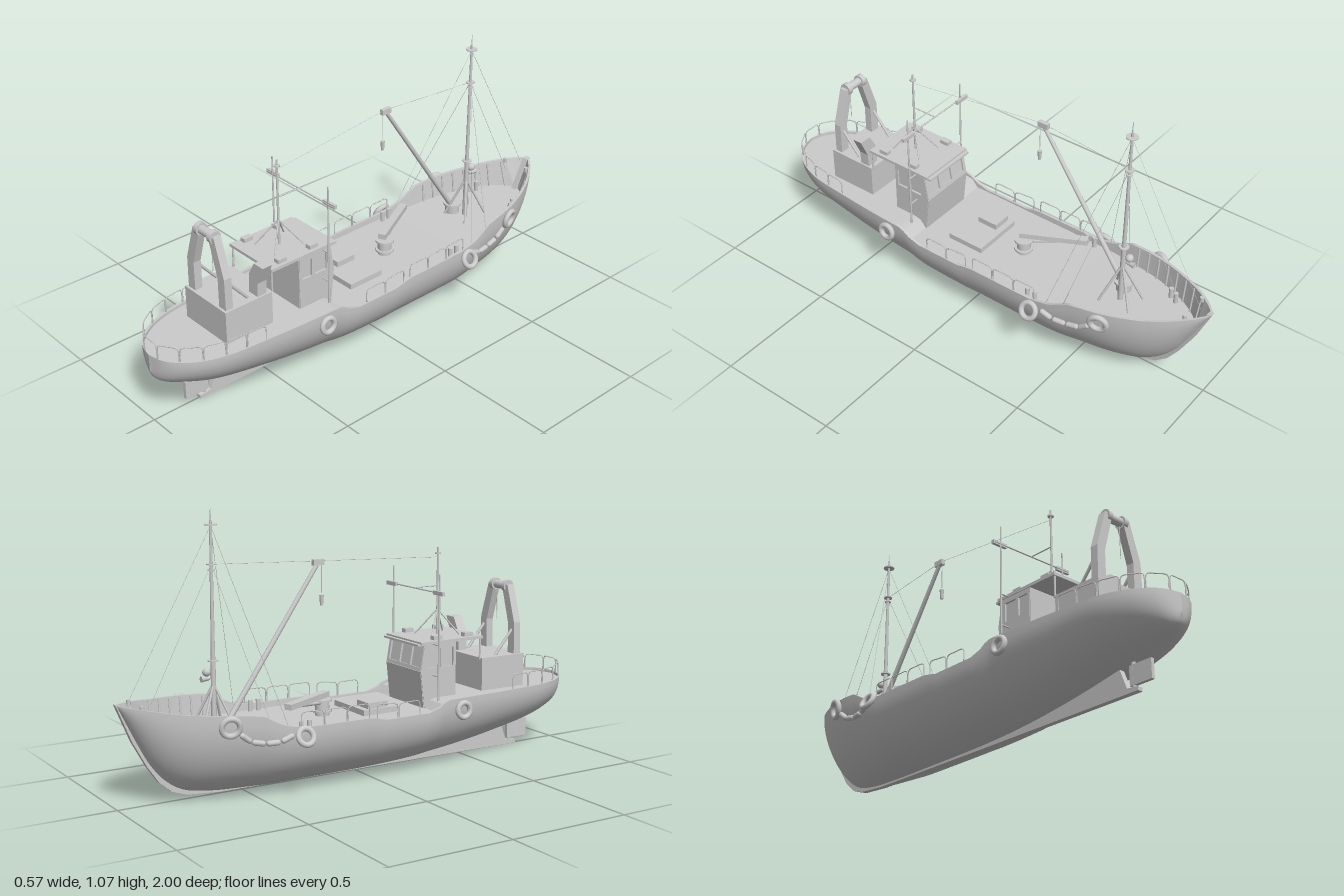
import * as THREE from 'three';
import { toCreasedNormals } from 'three/addons/utils/BufferGeometryUtils.js';

const V = (x, y, z) => new THREE.Vector3(x, y, z);
const mat = new THREE.MeshStandardMaterial({ color: 0xcccccc, side: THREE.DoubleSide });

// piecewise-linear lookup in a list of [z, value], z descending
function lookup(table, z) {
  for (let i = 1; i < table.length; i++) {
    const [z0, a] = table[i - 1], [z1, b] = table[i];
    if (z >= z1) return a + (b - a) * THREE.MathUtils.clamp((z0 - z) / (z0 - z1), 0, 1);
  }
  return table[table.length - 1][1];
}
const sheer = z => lookup([[1, .29], [.29, .29], [.25, .265], [.2, .25], [0, .25], [-.06, .265], [-.36, .268],
  [-.44, .285], [-.52, .328], [-.58, .336], [-.8, .355], [-1, .385]], z);
const deckY = z => lookup([[1, .278], [.28, .278], [.25, .242], [-.4, .242], [-1, .262]], z);

// hull stations: x = half beam, y = bottom, z = position
const stations = new THREE.CatmullRomCurve3([
  [0, .22, 1], [.06, .185, .985], [.1, .165, .96], [.15, .145, .9], [.19, .115, .8], [.212, .075, .6], [.225, .045, .4],
  [.23, .025, .2], [.23, .016, 0], [.23, .014, -.3], [.225, .014, -.5], [.205, .02, -.65], [.175, .04, -.75],
  [.145, .085, -.82], [.115, .15, -.875], [.08, .24, -.925], [.045, .32, -.965], [.012, .375, -.993], [0, .384, -1],
].map(p => V(...p))).getPoints(144);
const beam = z => lookup(stations.map(s => [s.z, s.x]), z);
const flare = z => 1 + .35 * THREE.MathUtils.smoothstep(-z, .4, .9);
function hullX(z, y) {
  const bot = lookup(stations.map(s => [s.z, s.y]), z), top = sheer(z);
  const c = THREE.MathUtils.clamp((top - y) / Math.max(top - bot, 1e-4), 0, 1);
  return beam(z) * Math.pow(Math.sqrt(1 - c * c), flare(z));
}

function grid(rows) {
  const n = rows[0].length, index = [];
  for (let i = 0; i < rows.length - 1; i++) for (let j = 0; j < n - 1; j++) {
    const a = i * n + j, b = a + n;
    index.push(a, b, a + 1, a + 1, b, b + 1);
  }
  const g = new THREE.BufferGeometry().setFromPoints(rows.flat());
  g.setIndex(index);
  g.computeVertexNormals();
  return g;
}

export function createModel() {
  const root = new THREE.Group();
  const group = name => { const g = new THREE.Group(); g.name = name; root.add(g); return g; };
  const add = (parent, name, geo, x = 0, y = 0, z = 0) => {
    const m = new THREE.Mesh(geo, mat);
    m.name = name; m.position.set(x, y, z); parent.add(m);
    return m;
  };
  const box = (p, name, w, h, d, x, y, z) => add(p, name, new THREE.BoxGeometry(w, h, d), x, y, z);
  const cyl = (p, name, r, h, x, y, z, r2 = r) => add(p, name, new THREE.CylinderGeometry(r2, r, h, 16), x, y, z);
  const rod = (p, name, a, b, r, r2 = r, sides = 8) => {
    const d = b.clone().sub(a), m = add(p, name, new THREE.CylinderGeometry(r2, r, d.length(), sides));
    m.position.copy(a).addScaledVector(d, .5);
    m.quaternion.setFromUnitVectors(V(0, 1, 0), d.normalize());
    return m;
  };
  const outline = (pts, holes = []) => {
    const s = new THREE.Shape(pts.map(p => new THREE.Vector2(...p)));
    s.holes = holes.map(h => new THREE.Path(h.map(p => new THREE.Vector2(...p))));
    return s;
  };
  const rect = (x0, y0, x1, y1) => [[x0, y0], [x1, y0], [x1, y1], [x0, y1]];
  const plate = (shape, t) => new THREE.ExtrudeGeometry(shape, { depth: t, bevelEnabled: false }).translate(0, 0, -t / 2);
  const sidePlate = (shape, t) => plate(shape, t).rotateY(-Math.PI / 2); // outline given as (z, y)

  // hull shell, bulwark and deck
  const hull = group('hull'), M = 16;
  add(hull, 'hullShell', grid(stations.map(({ x, y, z }) => {
    const row = [], top = sheer(z), bot = Math.min(y, top);
    for (let j = -M; j <= M; j++) {
      const t = j / M * Math.PI / 2;
      row.push(V(Math.sign(j) * x * Math.pow(Math.abs(Math.sin(t)), flare(z)), top - (top - bot) * Math.cos(t), z));
    }
    return row;
  })));
  add(hull, 'bulwarkAndDeck', toCreasedNormals(grid(stations.map(({ x, y, z }) => {
    const top = sheer(z), d = Math.min(Math.max(deckY(z), y + .01), top);
    const xi = Math.max(x - .012, 0), xd = Math.min(xi, Math.max(hullX(z, d) - .012, 0));
    return [V(x, top, z), V(xi, top, z), V(xd, d, z), V(-xd, d, z), V(-xi, top, z), V(-x, top, z)];
  })), .6));
  add(hull, 'keelAndStem', sidePlate(outline([[.8, 0], [.8, .014], [.75, .02], [.72, .1], [.4, .06], [0, .03], [-.5, .03],
    [-.72, .05], [-.81, .1], [-.87, .18], [-.92, .27], [-.98, .384], [-1, .388], [-.94, .245], [-.885, .145], [-.84, .08],
    [-.79, .038], [-.73, .018], [-.6, .008], [0, .004]]), .022));
  box(hull, 'rudder', .014, .075, .1, 0, .063, .81);
  rod(hull, 'rudderStock', V(0, .01, .775), V(0, .14, .775), .008);

  const bow = group('bowFittings');
  for (const s of [-1, 1]) {
    for (let z = -.56; z > -.92; z -= .05) {
      const d = deckY(z), t = sheer(z) - .005;
      rod(bow, 'bulwarkRib', V(s * (hullX(z, d) - .014), d, z), V(s * (beam(z) - .014), t, z), .004);
    }
    for (const [x, z] of [[.12, -.76], [.105, -.79], [.2, -.355], [.2, -.32]]) cyl(bow, 'bollard', .009, .045, s * x, deckY(z) + .022, z);
    cyl(bow, 'fairlead', .008, .02, s * .06, .375, -.92);
  }

  // railings made of round-cornered hoops
  const rails = group('railings');
  const railing = (pts, n, h) => {
    const p = new THREE.CatmullRomCurve3(pts).getSpacedPoints(n);
    for (let i = 0; i < n; i++) {
      const a = p[i], b = p[i + 1], at = (t, y) => a.clone().lerp(b, t).add(V(0, y, 0));
      const path = new THREE.CatmullRomCurve3([at(.03, 0), at(.03, h * .75), at(.07, h * .93), at(.17, h), at(.5, h), at(.83, h),
        at(.93, h * .93), at(.97, h * .75), at(.97, 0)]);
      add(rails, 'railHoop', new THREE.TubeGeometry(path, 28, .0022, 5));
    }
  };
  const stern = stations.filter(s => s.z > .6).map(s => V(Math.max(s.x - .006, 0), .288, s.z));
  railing([...stern.slice(1).reverse(), ...stern.map(p => V(-p.x, p.y, p.z))], 11, .06);
  for (const s of [-1, 1]) for (const [z0, z1, n] of [[.16, -.04, 2], [-.07, -.37, 3]]) {
    const pts = [];
    for (let i = 0; i <= 6; i++) { const z = z0 + (z1 - z0) * i / 6; pts.push(V(s * (beam(z) - .006), sheer(z), z)); }
    railing(pts, n, .055);
  }

  // tyres and sausage fenders on both sides
  const fenders = group('fenders');
  for (const s of [-1, 1]) {
    for (const [x, y, z, R, tilt] of [[.236, .243, .36, .029, .08], [.262, .243, -.37, .031, .46], [.215, .303, -.65, .033, -.15]]) {
      const t = add(fenders, 'tyreFender', new THREE.TorusGeometry(R, .011, 10, 24).rotateY(Math.PI / 2), s * x, y, z);
      t.rotation.z = s * tilt;
      if (z < -.6) t.rotation.y = s * .25;
    }
    const line = new THREE.CatmullRomCurve3([[.25, -.405], [.229, -.45], [.228, -.52], [.24, -.57], [.275, -.615]]
      .map(([y, z]) => V(s * (hullX(z, y) + .01), y, z))).getSpacedPoints(4);
    for (let i = 0; i < 4; i++) {
      const d = line[i + 1].clone().sub(line[i]);
      const m = add(fenders, 'sausageFender', new THREE.CapsuleGeometry(.011, d.length() - .024, 4, 10));
      m.position.copy(line[i]).addScaledVector(d, .5);
      m.quaternion.setFromUnitVectors(V(0, 1, 0), d.normalize());
    }
  }

  // wheelhouse with open shelter behind it
  const house = group('wheelhouse');
  const sideWall = outline([[.4, .24], [.25, .24], [.232, .39], [.25, .495], [.4, .495]], [rect(.268, .4, .325, .475), rect(.34, .4, .388, .475)]);
  for (const s of [-1, 1]) {
    add(house, 'sideWall', sidePlate(sideWall, .01), s * .117);
    add(house, 'sideWindow', sidePlate(outline(rect(.262, .395, .39, .48)), .002), s * .113);
    cyl(house, 'shelterPost', .004, .09, s * .115, .453, .525);
    for (const z of [.32, .47]) box(house, 'roofLight', .025, .016, .04, s * .1, .515, z);
  }
  const front = (name, y0, z0, y1, z1, holes, t) => {
    const h = Math.hypot(y1 - y0, z1 - z0);
    const m = add(house, name, plate(outline(rect(-.12, 0, .12, h), holes), t), 0, y0, z0);
    m.rotation.x = Math.atan2(z1 - z0, y1 - y0);
  };
  front('frontLowerWall', .24, .251, .39, .235, [], .01);
  front('frontWindowWall', .39, .235, .495, .253, [-.075, 0, .075].map(x => rect(x - .031, .014, x + .031, .09)), .01);
  front('frontWindowPane', .39, .239, .495, .257, [], .002);
  box(house, 'backWall', .24, .255, .01, 0, .368, .397);
  box(house, 'roof', .25, .012, .3, 0, .5, .382);
  box(house, 'visor', .24, .008, .05, 0, .495, .242);

  // engine casing, funnel and gantry
  const aft = group('engineCasing');
  box(aft, 'casing', .245, .14, .212, 0, .342, .638);
  add(aft, 'funnel', plate(outline([[.065, .41], [.115, .41], [.118, .47], [.152, .548], [.1, .548], [.068, .49]]), .042), 0, 0, .572);
  const gantry = group('gantry');
  for (const s of [-1, 1]) {
    const leg = [[.072, .41], [.112, .41], [.11, .54], [.062, .69], [.032, .69], [.032, .665], [.072, .53]];
    add(gantry, 'gantryLeg', plate(outline(leg.map(([x, y]) => [s * x, y])), .032), 0, 0, .718);
    rod(gantry, 'gantryBrace', V(s * .092, .51, .705), V(s * .092, .41, .62), .006);
    rod(gantry, 'sheave', V(s * .03, .683, .718), V(s * .05, .683, .718), .025, .025, 18);
  }
  rod(gantry, 'gantryDrum', V(-.035, .683, .718), V(.035, .683, .718), .017, .017, 18);
  rod(gantry, 'hangingLine', V(.025, .67, .718), V(.025, .535, .718), .0015);

  // aerials around and on the wheelhouse
  const aerials = group('aerials');
  for (const s of [-1, 1]) {
    rod(aerials, 'aerialPole', V(s * .16, .25, .29), V(s * .16, .775, .29), .0045, .003);
    box(aerials, 'aerialPanel', .065, .016, .012, s * .163, .702, .285);
    for (const y of [.37, .495]) rod(aerials, 'poleBracket', V(s * .16, y, .29), V(s * .115, y, .29), .003);
    for (const dz of [-.07, .07]) rod(aerials, 'tripodLeg', V(0, .61, .395), V(s * .06, .505, .395 + dz), .003);
  }
  rod(aerials, 'crossBar', V(-.19, .702, .29), V(.19, .702, .29), .003);
  rod(aerials, 'roofMast', V(0, .5, .395), V(0, .86, .395), .005, .004);
  cyl(aerials, 'mastCap', .012, .006, 0, .835, .395);
  rod(aerials, 'mastArm', V(0, .705, .395), V(0, .705, .29), .0025);

  // main mast
  const mast = group('mainMast');
  rod(mast, 'mastLower', V(0, .24, -.61), V(0, .52, -.61), .011, .009, 12);
  rod(mast, 'mastUpper', V(0, .52, -.61), V(0, 1.02, -.61), .008, .005, 12);
  rod(mast, 'mastTip', V(0, 1.02, -.61), V(0, 1.065, -.61), .003, .001);
  for (const [y, r] of [[1.003, .023], [.86, .018], [.84, .013], [.505, .02]]) cyl(mast, 'mastRing', r, .004, 0, y, -.61);
  for (const [x, z] of [[.06, -.55], [-.06, -.55], [.05, -.68], [-.05, -.68]]) rod(mast, 'mastStrut', V(0, .42, -.61), V(x, .25, z), .005);
  add(mast, 'lamp', new THREE.SphereGeometry(.016, 16, 12), 0, .465, -.637);
  rod(mast, 'bell', V(0, .44, -.625), V(0, .44, -.66), .006, .012);

  // cargo derrick
  const derrick = group('derrick'), tip = V(-.055, .85, -.19);
  cyl(derrick, 'derrickBase', .03, .04, -.055, .265, -.59);
  cyl(derrick, 'derrickCollar', .038, .008, -.055, .287, -.59);
  rod(derrick, 'boom', V(-.055, .27, -.59), tip, .011, .008, 12);
  box(derrick, 'boomHead', .018, .022, .045, -.055, .845, -.195);
  rod(derrick, 'hookLine', V(-.055, .84, -.18), V(-.055, .73, -.18), .0015);
  rod(derrick, 'hookBlock', V(-.055, .72, -.18), V(-.055, .68, -.18), .009, .006);

  // deck crane and hatch
  const gear = group('deckGear');
  cyl(gear, 'cranePedestal', .028, .06, -.005, .272, -.15);
  for (const y of [.26, .302]) cyl(gear, 'pedestalFlange', .038, .008, -.005, y, -.15);
  const arm = box(gear, 'craneArm', .032, .022, .27, -.065, .325, -.25);
  arm.rotation.y = .48;
  rod(gear, 'craneRam', V(-.02, .295, -.17), V(-.1, .318, -.32), .007);
  box(gear, 'hatchCoaming', .22, .025, .16, 0, .252, .055);
  box(gear, 'hatchLid', .08, .024, .09, -.06, .276, .045);

  // rigging wires
  const rigging = group('rigging'), wire = (a, b) => rod(rigging, 'stay', a, b, .0009, .0009, 4);
  const head = V(0, 1, -.61), mid = V(0, .86, -.61);
  wire(head, V(0, .385, -.95));
  wire(mid, V(0, .37, -.86));
  wire(mid, tip);
  wire(tip, V(0, .82, .395));
  for (const s of [-1, 1]) {
    wire(head, V(s * .22, .28, -.42));
    wire(mid, V(s * .222, .32, -.5));
  }
  return root;
}
